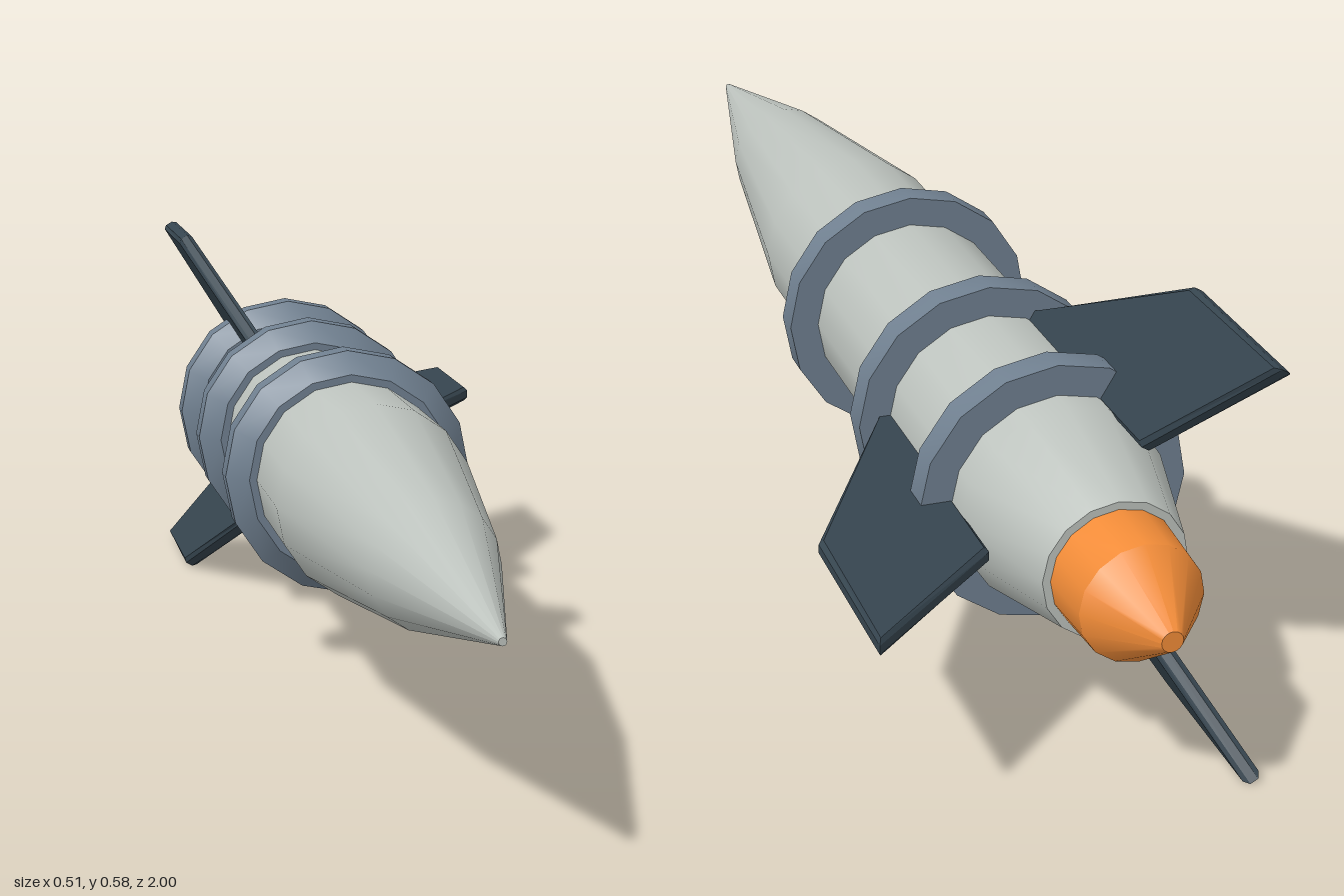
import * as THREE from 'three';
import { toCreasedNormals } from 'three/addons/utils/BufferGeometryUtils.js';

const AXIS_X = -0.075;
const AXIS_Y = 0.293;
const SIDES = 16;

const paint = (color) => new THREE.MeshStandardMaterial({ color });
const hullPaint = paint(0xbdc3be);
const bandPaint = paint(0x708090);
const finPaint = paint(0x36454f);
const nozzlePaint = paint(0xf28c38);

// Turn a [radius, z] profile, listed from tail to nose, around the z axis
function turned(name, profile, material) {
  const points = profile.map(([r, z]) => new THREE.Vector2(r, z));
  const geometry = new THREE.LatheGeometry(points, SIDES).rotateX(Math.PI / 2);
  const mesh = new THREE.Mesh(toCreasedNormals(geometry, 0.5), material);
  mesh.name = name;
  return mesh;
}

// Swept fin plate with bevelled edges, lying in the xz plane
function finGeometry() {
  const outline = [[0.135, -0.335], [0.33, -0.67], [0.33, -0.915], [0.135, -0.75]];
  const shape = new THREE.Shape(outline.map(([r, z]) => new THREE.Vector2(r, z)));
  const bevel = 0.006;
  const depth = 0.012;
  return new THREE.ExtrudeGeometry(shape, {
    depth, bevelEnabled: true, bevelSegments: 1,
    bevelSize: bevel, bevelThickness: bevel, bevelOffset: -bevel,
  }).translate(0, 0, -depth / 2).rotateX(Math.PI / 2);
}

export function createModel() {
  const model = new THREE.Group();
  model.name = 'rocket';
  const rocket = new THREE.Group();
  rocket.name = 'rocketAssembly';
  rocket.position.set(AXIS_X, AXIS_Y, 0);
  model.add(rocket);

  // Hull with tapered tail and long pointed nose
  rocket.add(turned('hull', [
    [0, -0.83], [0.096, -0.83], [0.141, -0.66],
    [0.141, 0.23], [0.086, 0.63], [0.005, 1], [0, 1],
  ], hullPaint));

  // Exhaust cone at the tail
  rocket.add(turned('exhaustCone', [
    [0, -1], [0.014, -1], [0.081, -0.91], [0.086, -0.82],
  ], nozzlePaint));

  // Bands with a chamfered front edge and flat back
  [-0.04, -0.373, -0.624].forEach((back, i) => {
    rocket.add(turned(`band${i + 1}`, [
      [0.135, back], [0.183, back], [0.183, back + 0.042],
      [0.152, back + 0.074], [0.135, back + 0.074],
    ], bandPaint));
  });

  // Three fins, evenly spaced
  const geometry = finGeometry();
  for (let i = 0; i < 3; i++) {
    const fin = new THREE.Mesh(geometry, finPaint);
    fin.name = `fin${i + 1}`;
    fin.rotation.z = (i * Math.PI * 2) / 3;
    rocket.add(fin);
  }
  return model;
}
